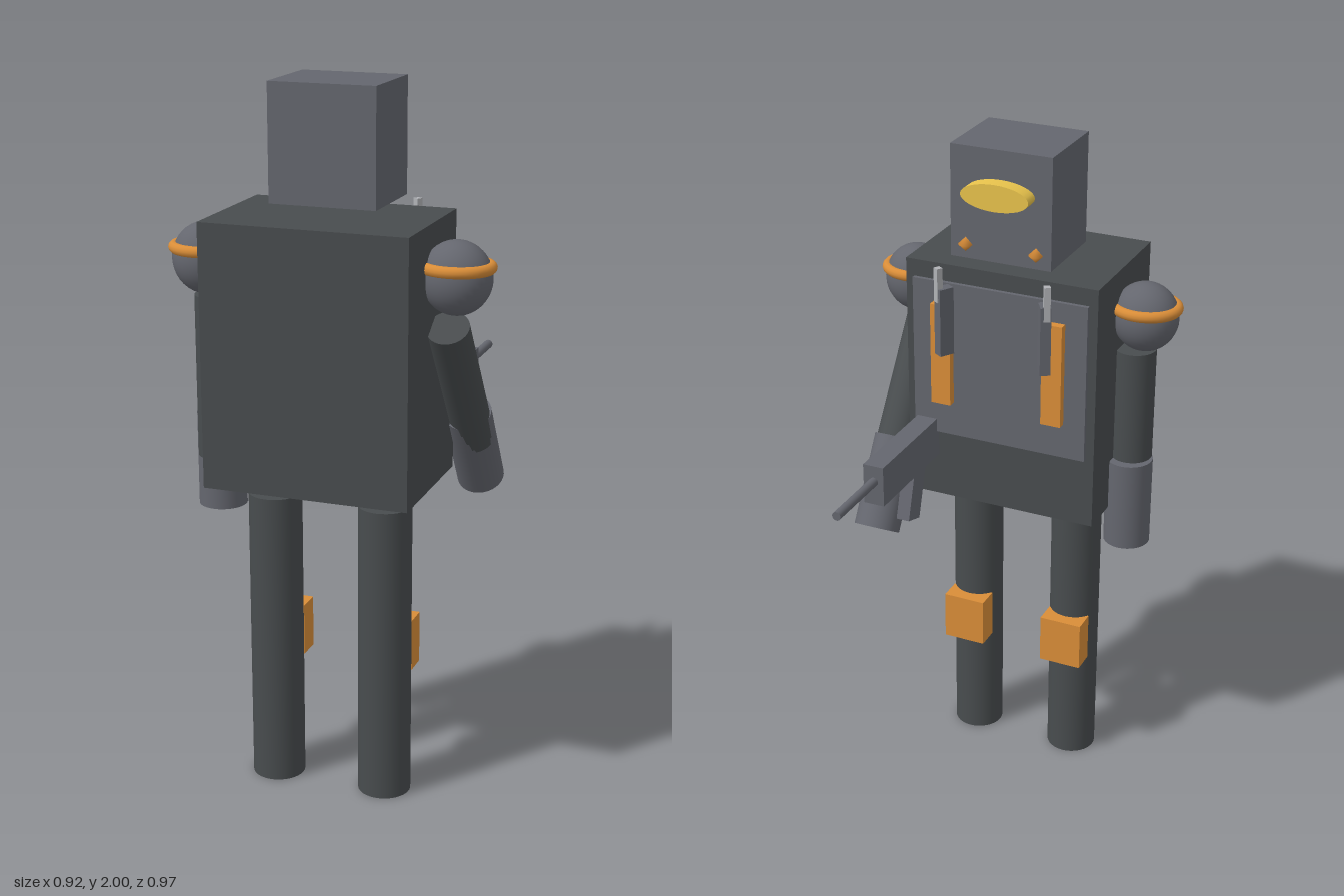
import * as THREE from 'three';

const paint = (color) => new THREE.MeshStandardMaterial({ color });
const DARK = paint(0x484c4e), STEEL = paint(0x64666e), LIGHT = paint(0xb0b2b6);
const ORANGE = paint(0xd98d38), YELLOW = paint(0xe8c34c);

export function createModel() {
  const model = new THREE.Group();

  function add(name, geometry, material, x, y, z) {
    const mesh = new THREE.Mesh(geometry, material);
    mesh.name = name;
    mesh.position.set(x, y, z);
    model.add(mesh);
    return mesh;
  }
  // box given by its width, height, depth and centre
  const box = (name, mat, w, h, d, x, y, z) =>
    add(name, new THREE.BoxGeometry(w, h, d), mat, x, y, z);
  // cylinder running from point a to point b
  function rod(name, mat, r, a, b) {
    const from = new THREE.Vector3(...a), to = new THREE.Vector3(...b);
    const dir = to.clone().sub(from);
    const mid = from.clone().add(to).multiplyScalar(0.5);
    const mesh = add(name, new THREE.CylinderGeometry(r, r, dir.length(), 32), mat, mid.x, mid.y, mid.z);
    mesh.quaternion.setFromUnitVectors(new THREE.Vector3(0, 1, 0), dir.normalize());
    return mesh;
  }

  // torso, chest panel and head; the face looks toward -z
  box('torso', DARK, 0.58, 0.73, 0.4, 0, 1.285, 0.28);
  box('chestPanel', STEEL, 0.53, 0.47, 0.03, 0, 1.365, 0.083);
  box('head', STEEL, 0.3, 0.32, 0.25, 0, 1.84, 0.205);

  // oval visor
  const visor = new THREE.CylinderGeometry(1, 1, 0.055, 32);
  visor.rotateX(Math.PI / 2).scale(0.1, 0.038, 1);
  add('visor', visor, YELLOW, 0, 1.88, 0.0625);

  for (const s of [-1, 1]) {
    // cheek studs with a diamond profile
    add('cheekStud', new THREE.SphereGeometry(0.021, 16, 2), ORANGE, s * 0.105, 1.72, 0.08);

    // shoulder ball with its band
    const ball = add('shoulder', new THREE.SphereGeometry(1, 32, 20), STEEL, s * 0.355, 1.51, 0.28);
    ball.scale.set(0.096, 0.1, 0.088);
    const ring = new THREE.TorusGeometry(0.09, 0.016, 12, 40);
    ring.rotateX(Math.PI / 2).scale(1, 1, 0.9);
    add('shoulderBand', ring, ORANGE, s * 0.355, 1.54, 0.28);

    // leg and knee pad
    rod('leg', DARK, 0.075, [s * 0.162, 0, 0.285], [s * 0.162, 0.86, 0.285]);
    box('kneePad', ORANGE, 0.13, 0.15, 0.07, s * 0.162, 0.43, 0.207);

    // chest strap with a turned holder and its rod
    box('chestStrap', ORANGE, 0.06, 0.305, 0.026, s * 0.17, 1.387, 0.057);
    box('holder', STEEL, 0.03, 0.2, 0.045, s * 0.152, 1.5, 0.036).rotation.y = -s * 0.55;
    box('holderRod', LIGHT, 0.018, 0.1, 0.018, s * 0.163, 1.61, 0.024).rotation.y = -s * 0.55;
  }

  // hanging arm
  rod('rightUpperArm', DARK, 0.06, [-0.33, 0.95, 0.28], [-0.33, 1.41, 0.28]);
  rod('rightForearm', STEEL, 0.068, [-0.332, 0.8, 0.26], [-0.332, 1.07, 0.26]);

  // arm reaching forward
  rod('leftUpperArm', DARK, 0.058, [0.335, 0.995, 0.027], [0.335, 1.375, 0.287]);
  rod('leftForearm', STEEL, 0.067, [0.328, 0.848, -0.073], [0.328, 1.08, 0.072]);

  // blaster: body, barrel and slanted grip
  box('blasterBody', STEEL, 0.062, 0.12, 0.35, 0.226, 1.11, -0.095);
  rod('blasterBarrel', STEEL, 0.013, [0.225, 1.122, -0.27], [0.225, 1.122, -0.485]);
  box('blasterGrip', STEEL, 0.04, 0.17, 0.07, 0.225, 0.985, -0.045).rotation.x = 0.3;

  return model;
}
